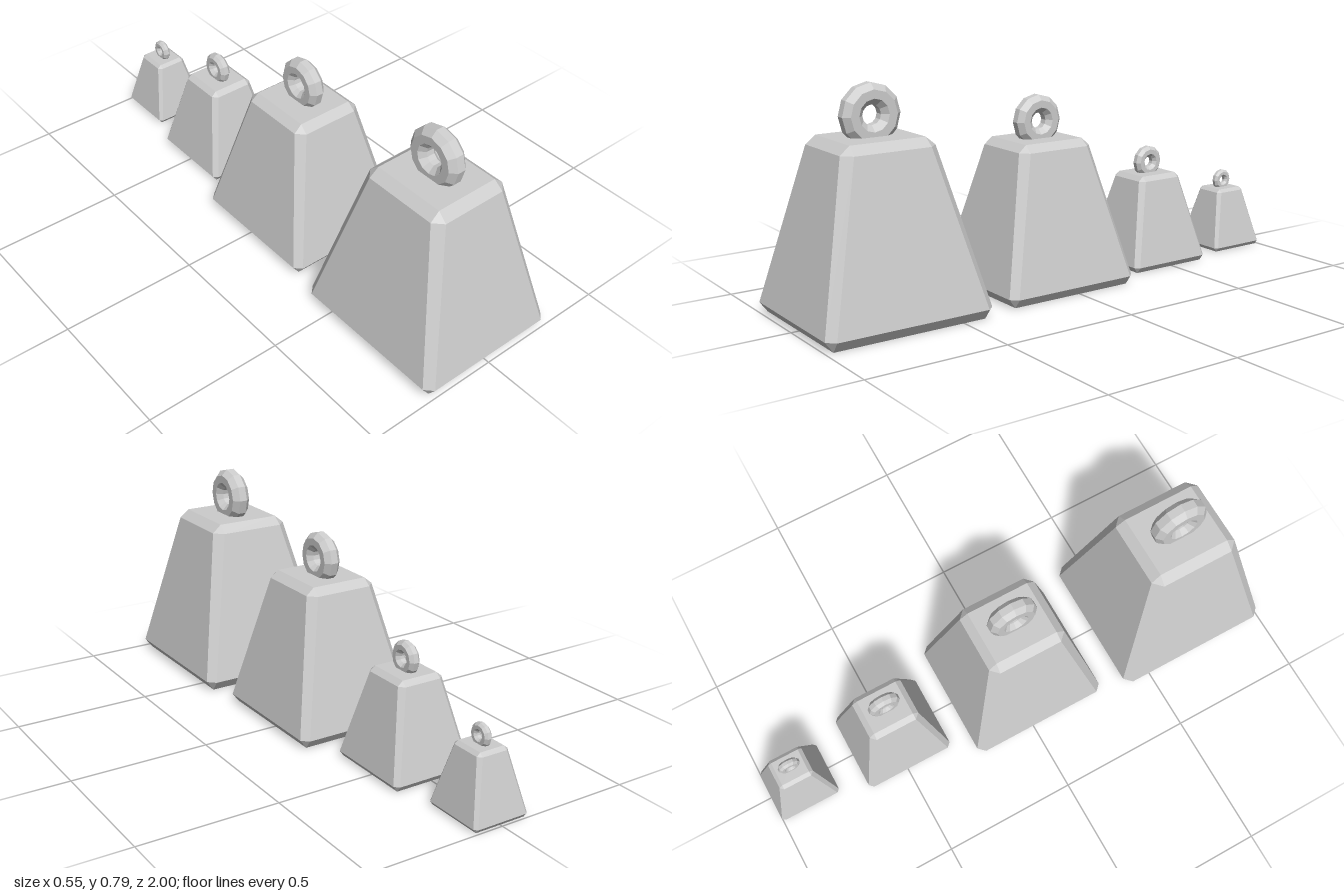
import * as THREE from 'three';
import { ConvexGeometry } from 'three/addons/geometries/ConvexGeometry.js';

const material = new THREE.MeshStandardMaterial({ color: 0xcccccc, flatShading: true });

// Tapered block: rectangles at base and top, chamfered octagons between them
function bodyGeometry() {
  const points = [];
  const add = (x, y, z) => {
    for (const sx of [-1, 1]) for (const sz of [-1, 1]) points.push(new THREE.Vector3(sx * x, y, sz * z));
  };
  const chamferedRing = (x, y, z, cut) => {
    add(x, y, z - cut);
    add(x - cut, y, z);
  };
  add(0.247, 0, 0.277);
  chamferedRing(0.275, 0.038, 0.305, 0.028);
  chamferedRing(0.156, 0.581, 0.172, 0.033);
  add(0.121, 0.61, 0.137);
  return new ConvexGeometry(points);
}

// Octagonal-section ring standing in the yz plane
function ringGeometry() {
  const R = 0.07, r = 0.039, sides = 8;
  const profile = [];
  for (let i = 0; i <= sides; i++) {
    const a = ((i + 0.5) / sides) * Math.PI * 2;
    profile.push(new THREE.Vector2(R + r * Math.cos(a), r * Math.sin(a)));
  }
  return new THREE.LatheGeometry(profile, 12).rotateZ(Math.PI / 2).translate(0, 0.68, 0);
}

export function createModel() {
  const group = new THREE.Group();
  group.name = 'weightSet';
  const body = bodyGeometry();
  const ring = ringGeometry();

  // Four sizes of the same weight, largest in front: [z centre, scale]
  [[0.695, 1], [0.032, 0.876], [-0.487, 0.566], [-0.882, 0.387]].forEach(([z, scale], i) => {
    const weight = new THREE.Group();
    weight.name = `weight${i + 1}`;
    for (const [name, geometry] of [['body', body], ['ring', ring]]) {
      const mesh = new THREE.Mesh(geometry, material);
      mesh.name = name;
      weight.add(mesh);
    }
    weight.position.z = z;
    weight.scale.setScalar(scale);
    group.add(weight);
  });
  return group;
}
